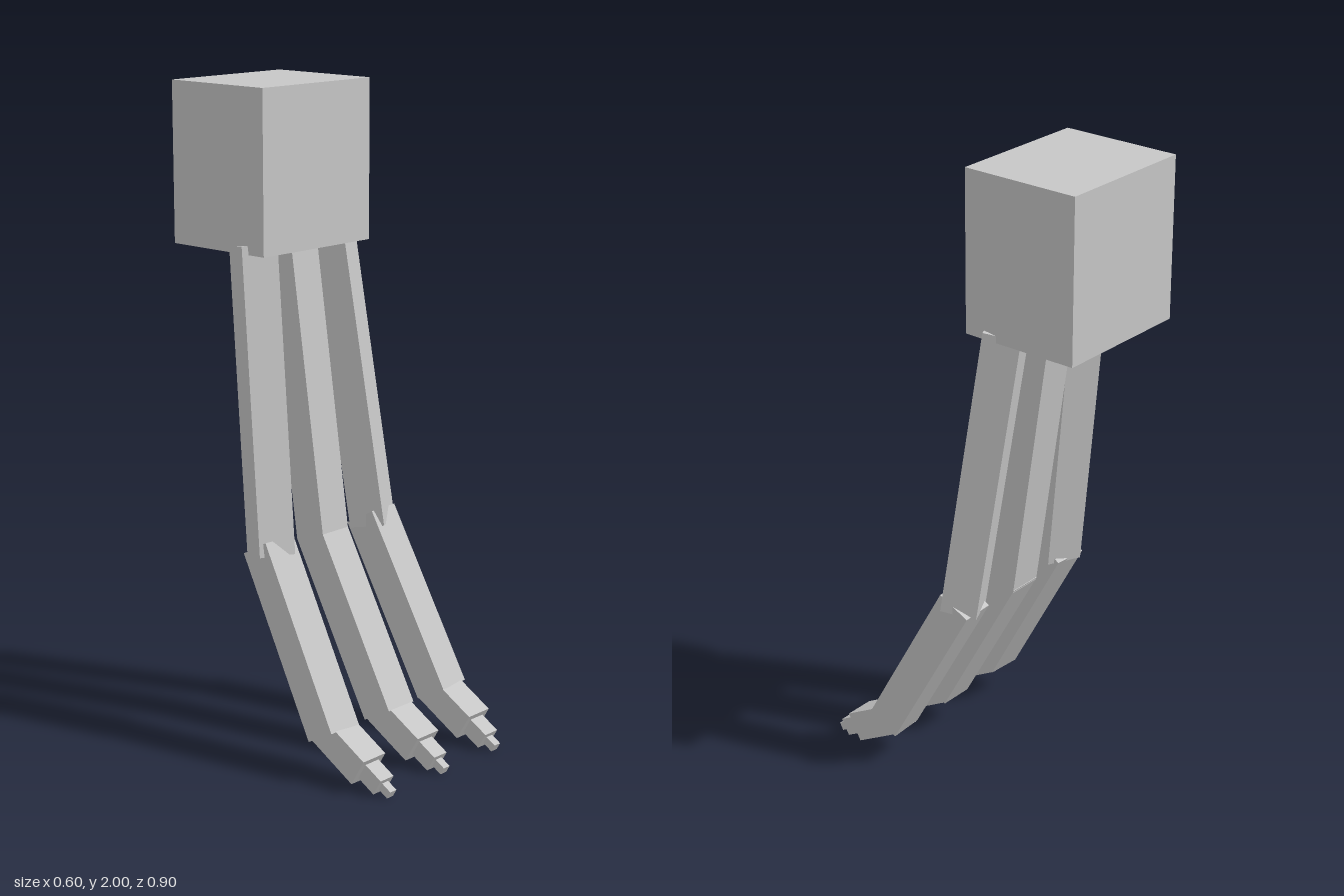
import * as THREE from 'three';

const rad = THREE.MathUtils.degToRad;

export function createModel() {
  const model = new THREE.Group();
  model.name = 'claw';
  const grey = new THREE.MeshStandardMaterial({ color: 0xc6c6c6 });
  grey.name = 'grey';

  // Box placed by its centre, turned by yaw and then pitch
  function block(parent, name, size, centre, pitch = 0, yaw = 0) {
    const mesh = new THREE.Mesh(new THREE.BoxGeometry(...size), grey);
    mesh.name = name;
    mesh.position.set(...centre);
    mesh.rotation.set(rad(pitch), rad(yaw), 0, 'YXZ');
    parent.add(mesh);
    return mesh;
  }

  // Palm block
  block(model, 'palm', [0.45, 0.485, 0.375], [0, 1.7575, -0.2605]);

  // Three fingers: the outer two splay away from the middle one
  for (const side of [-1, 0, 1]) {
    const finger = new THREE.Group();
    finger.name = ['rightFinger', 'middleFinger', 'leftFinger'][side + 1];
    model.add(finger);

    // Upper and lower segments
    const upperZ = side ? -0.113 : -0.119;
    block(finger, 'upperSegment', [0.111, 0.915, 0.111], [side * 0.196, 1.081, upperZ], -8.3, side * 25);
    block(finger, 'lowerSegment', [0.111, 0.587, 0.111], [side * 0.2345, 0.3975, 0.079], -28.7, side * 3.6);

    // Stepped tip, each block ending further along one sloping line
    const steps = [
      ['knuckle', 0.094, 0.18, 0],
      ['tip', 0.056, 0.08, 0.068],
      ['point', 0.026, 0.05, 0.105],
    ];
    for (const [name, width, length, reach] of steps) {
      const along = reach - length / 2;
      const y = 0.065 - along * Math.sin(rad(30));
      const z = 0.352 + along * Math.cos(rad(30));
      block(finger, name, [width, width, length], [side * 0.2375, y, z], 30);
    }
  }
  return model;
}
